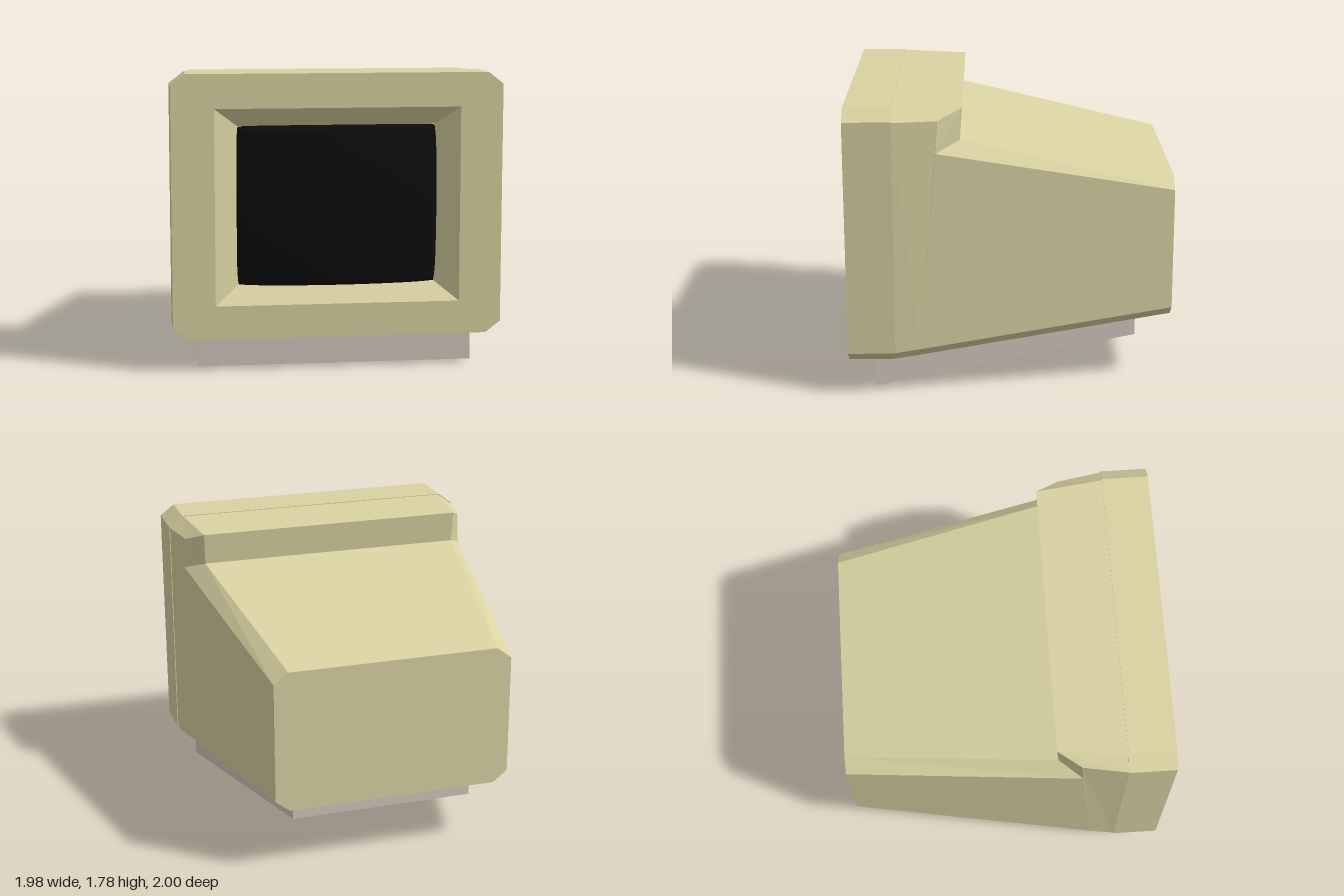
import * as THREE from 'three';

const cream = new THREE.MeshStandardMaterial({ color: 0xd9d2a2, flatShading: true });
const beige = new THREE.MeshStandardMaterial({ color: 0xd2c6bd, flatShading: true });
const black = new THREE.MeshStandardMaterial({ color: 0x0c0c0c });

// Skin between cross-sections of equal length, counter-clockwise from the front, listed front to back
function loft(rings, { front = false, back = false } = {}) {
  const out = [];
  const tri = (a, b, c) => {
    const n = b.clone().sub(a).cross(c.clone().sub(a));
    if (n.length() > 1e-7) out.push(...a, ...b, ...c);
  };
  for (let r = 0; r + 1 < rings.length; r++) {
    const p = rings[r], q = rings[r + 1];
    p.forEach((a, i) => {
      const j = (i + 1) % p.length;
      tri(a, q[i], p[j]);
      tri(p[j], q[i], q[j]);
    });
  }
  const first = rings[0], last = rings[rings.length - 1];
  for (let i = 1; i + 1 < first.length; i++) {
    if (front) tri(first[0], first[i], first[i + 1]);
    if (back) tri(last[0], last[i + 1], last[i]);
  }
  const g = new THREE.BufferGeometry();
  g.setAttribute('position', new THREE.Float32BufferAttribute(out, 3));
  g.computeVertexNormals();
  return g;
}

// Mirrors a right-hand profile of [x, y, z], bottom to top, into a closed ring
const ring = half => [
  ...half.map(p => new THREE.Vector3(...p)),
  ...half.slice().reverse().map(([x, y, z]) => new THREE.Vector3(-x, y, z)),
];

// Chamfered rectangle at depth z
const octagon = (z, w, y0, y1, cx = 0.09, cy = 0.07) =>
  ring([[w - cx, y0, z], [w, y0 + cy, z], [w, y1 - cy, z], [w - cx, y1, z]]);

const rect = (z, w, y0, y1, zTop = z) => ring([[w, y0, z], [w, y1, zTop]]);

function add(group, name, geometry, material) {
  const mesh = new THREE.Mesh(geometry, material);
  mesh.name = name;
  group.add(mesh);
  return mesh;
}

export function createModel() {
  const model = new THREE.Group();
  model.name = 'monitor';
  const frontZ = 0.988, seamZ = 0.7;

  // Bezel: outer rim, front face with opening, sloped recess
  const bezel = new THREE.Group();
  bezel.name = 'bezel';
  model.add(bezel);
  const outline = octagon(frontZ, 0.99, 0.2, 1.78);
  add(bezel, 'bezelRim', loft([outline, octagon(seamZ, 0.99, 0.2, 1.78)], { back: true }), cream);

  const opening = rect(frontZ, 0.735, 0.4, 1.575);
  const face = new THREE.Shape(outline.map(p => new THREE.Vector2(p.x, p.y)));
  face.holes.push(new THREE.Path(opening.map(p => new THREE.Vector2(p.x, p.y)).reverse()));
  add(bezel, 'bezelFace', new THREE.ShapeGeometry(face), cream).position.z = frontZ;

  const recess = [opening, rect(0.885, 0.595, 0.51, 1.465)].map(r => r.reverse());
  add(bezel, 'screenRecess', loft(recess), cream);

  // Bulging screen, its outermost row folded back as a skirt
  const hw = 0.6, hh = 0.478, n = 22;
  const screen = new THREE.PlaneGeometry(2, 2, n, n);
  const pos = screen.attributes.position;
  const inner = 1 - 2 / n;
  for (let i = 0; i < pos.count; i++) {
    const u = pos.getX(i), v = pos.getY(i);
    const cu = THREE.MathUtils.clamp(u / inner, -1, 1), cv = THREE.MathUtils.clamp(v / inner, -1, 1);
    const x = cu * hw * (1 - 0.015 * cv ** 8), y = cv * hh * (1 - 0.01 * cu ** 8);
    const skirt = Math.max(Math.abs(u), Math.abs(v)) > inner + 1e-4;
    pos.setXYZ(i, x, y + 0.988, skirt ? 0.875 : 1 - 0.165 * (x * x + y * y));
  }
  screen.computeVertexNormals();
  add(model, 'screen', screen, black);

  // Housing: raised hump behind the bezel, then a tapering rear
  const low = [[0.878, 0.218, 0.55], [0.967, 0.288, 0.55]];
  add(model, 'housing', loft([
    octagon(seamZ, 0.985, 0.2, 1.775),
    ring([...low, [0.938, 1.705, 0.43], [0.848, 1.765, 0.285]]),
    ring([...low, [0.95, 1.51, 0.445], [0.842, 1.57, 0.3]]),
    octagon(-1, 0.745, 0.4, 1.295),
  ], { back: true }), cream);

  // Slanted, tapering foot
  add(model, 'foot', loft([
    rect(0.83, 0.84, 0, 0.21),
    rect(-0.79, 0.58, 0.23, 0.39),
  ], { front: true, back: true }), beige);

  return model;
}
